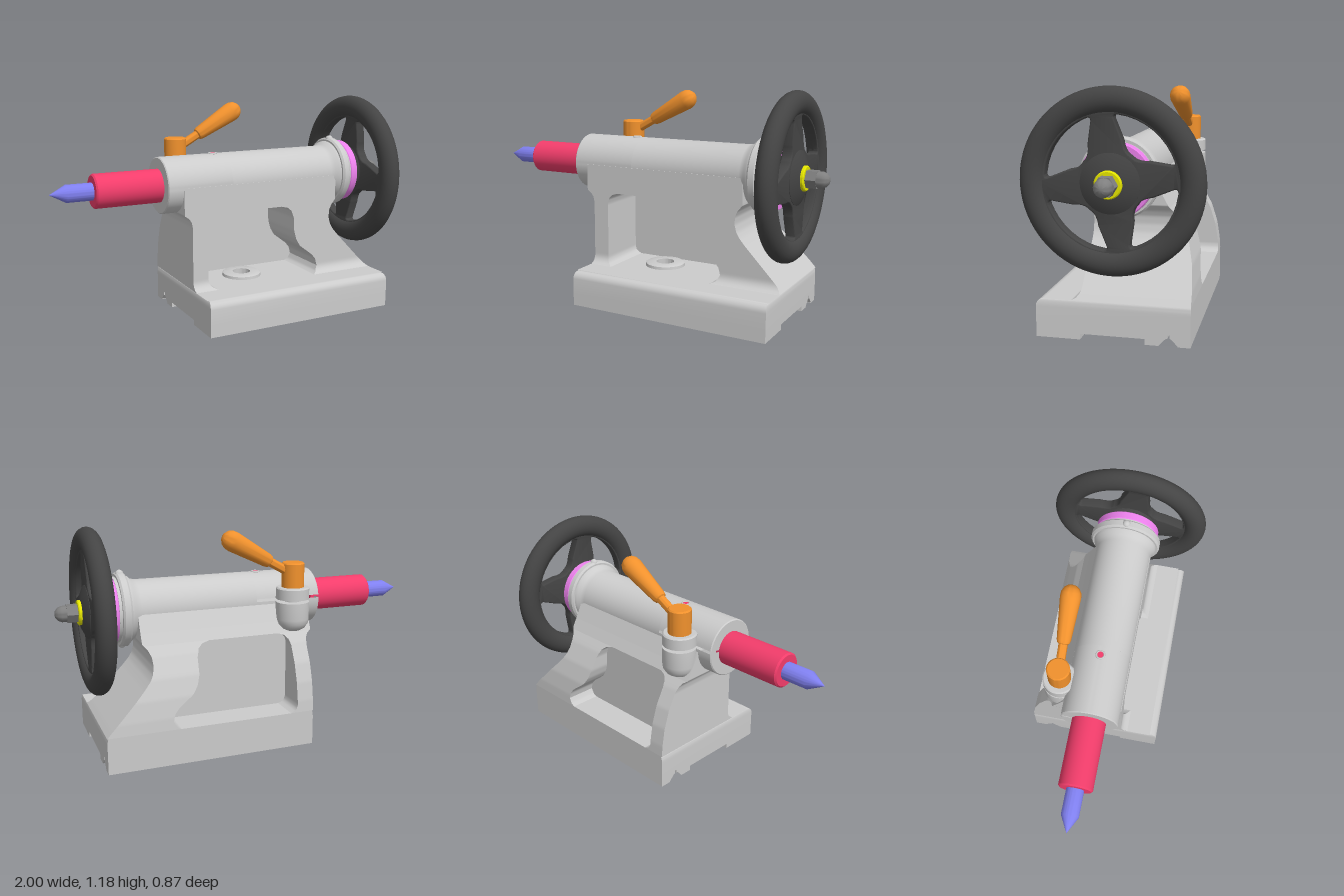
import * as THREE from 'three';
import { toCreasedNormals } from 'three/addons/utils/BufferGeometryUtils.js';

const AXIS = 0.75; // height of the spindle axis
const mat = (color) => new THREE.MeshStandardMaterial({ color });
const GREY = mat(0xcccccc), DARK = mat(0x444444), ORANGE = mat(0xf0912d), RED = mat(0xf23d6b),
  BLUE = mat(0x8080f0), VIOLET = mat(0xee82ee), YELLOW = mat(0xe6e600), STEEL = mat(0x808080);
const GREY2 = mat(0xcccccc);
GREY2.side = THREE.DoubleSide;

// Linear lookup in a short table of [key, value] pairs
function lookup(table, k) {
  if (k <= table[0][0]) return table[0][1];
  for (let i = 1; i < table.length; i++) {
    const [k0, v0] = table[i - 1], [k1, v1] = table[i];
    if (k <= k1) return v0 + (v1 - v0) * (k - k0) / (k1 - k0);
  }
  return table[table.length - 1][1];
}

// Stack of rectangles [y, x0, x1, zBack, zFront] joined into a solid
function stack(rows, capped = true) {
  const pos = [], idx = [];
  for (const [y, x0, x1, zb, zf] of rows) pos.push(x0, y, zf, x1, y, zf, x1, y, zb, x0, y, zb);
  for (let i = 0; i < rows.length - 1; i++) {
    for (let j = 0; j < 4; j++) {
      const a = i * 4 + j, b = i * 4 + (j + 1) % 4;
      idx.push(a, b, b + 4, a, b + 4, a + 4);
    }
  }
  if (capped) {
    const t = (rows.length - 1) * 4;
    idx.push(t, t + 1, t + 2, t, t + 2, t + 3, 0, 2, 1, 0, 3, 2);
  }
  const g = new THREE.BufferGeometry();
  g.setAttribute('position', new THREE.Float32BufferAttribute(pos, 3));
  g.setIndex(idx);
  return toCreasedNormals(g, 0.6);
}

// Lathe about a vertical axis, profile as [height, radius]
function lathe(profile, segments = 48, start = 0, length = Math.PI * 2) {
  const pts = profile.map(([h, r]) => new THREE.Vector2(r, h));
  return toCreasedNormals(new THREE.LatheGeometry(pts, segments, start, length), 0.6);
}
// The same about the spindle axis, profile as [x, radius]
const latheX = (...args) => lathe(...args).rotateZ(-Math.PI / 2).translate(0, AXIS, 0);

// Extrude a side shape (u = -z, v = y) along x
function extrudeX(shape, x0, x1, bevel = 0) {
  return new THREE.ExtrudeGeometry(shape, {
    depth: x1 - x0 - 2 * bevel, bevelEnabled: bevel > 0, bevelSize: bevel, bevelThickness: bevel,
    bevelSegments: 3, curveSegments: 24,
  }).rotateY(Math.PI / 2).translate(x0 + bevel, 0, 0);
}
const polygon = (pts) => new THREE.Shape(pts.map(([x, y]) => new THREE.Vector2(x, y)));

export function createModel() {
  const model = new THREE.Group();
  const add = (name, geo, material = GREY, parent = model) => {
    const m = new THREE.Mesh(geo, material);
    m.name = name;
    parent.add(m);
    return m;
  };
  const box = (name, x0, x1, y0, y1, z0, z1) => add(name,
    new THREE.BoxGeometry(x1 - x0, y1 - y0, z1 - z0).translate((x0 + x1) / 2, (y0 + y1) / 2, (z0 + z1) / 2));

  // Base plate with a rounded top edge and a bolt hole
  const rows = [[0.06, -0.29, 0.83, -0.37, 0.37]];
  for (let i = 0; i <= 6; i++) {
    const a = i / 6 * Math.PI / 2, c = 1 - Math.cos(a);
    rows.push([0.15 + 0.04 * Math.sin(a), -0.29 + 0.01 * c, 0.83 - 0.01 * c, -0.37, 0.37 - 0.04 * c]);
  }
  add('basePlate', stack(rows, false));
  const holedCap = (front) => {
    const s = polygon([[-0.29, -front], [0.83, -front], [0.83, 0.37], [-0.29, 0.37]]);
    s.holes.push(new THREE.Path().absarc(0.08, 0, 0.05, 0, Math.PI * 2, true));
    return new THREE.ShapeGeometry(s, 24);
  };
  add('basePlateTop', holedCap(0.33).rotateX(-Math.PI / 2).translate(0, 0.19, 0));
  add('basePlateUnderside', holedCap(0.37).rotateX(-Math.PI / 2).translate(0, 0.06, 0), GREY2);
  add('boltBoss', lathe([[0.06, 0.05], [0.19, 0.05], [0.21, 0.05], [0.21, 0.1], [0.205, 0.108], [0.19, 0.11]])
    .translate(0.08, 0, 0), GREY2);

  // Underside: rails, grooved way and slotted end blocks around a recess
  box('frontRail', -0.29, 0.83, 0, 0.06, 0.29, 0.37);
  const way = polygon([[0.155, 0], [0.22, 0], [0.255, 0.037], [0.262, 0.037], [0.262, 0.055], [0.272, 0.055],
    [0.272, 0.037], [0.279, 0.037], [0.31, 0.004], [0.31, 0], [0.37, 0], [0.37, 0.06], [0.155, 0.06]]);
  add('groovedWay', extrudeX(way, -0.29, 0.83));
  for (const [x0, x1] of [[-0.29, -0.17], [0.71, 0.83]]) {
    box('endBlock', x0, x1, 0, 0.06, 0.155, 0.29);
    box('slotRoof', x0, x1, 0.028, 0.06, -0.155, 0.155);
  }

  // Upright casting: two walls around a pocket, a solid top and a thin web
  const back = [[0.19, -0.37], [0.25, -0.366], [0.35, -0.35], [0.45, -0.318], [0.55, -0.265], [0.6, -0.228],
    [0.66, -0.195], [0.75, -0.15]];
  const front = [[0.19, 0.195], [0.2, 0.175], [0.215, 0.161], [0.235, 0.155]];
  const outerLeft = [[0.19, -0.29], [0.54, -0.29], [0.57, -0.297], [0.59, -0.312], [0.605, -0.335]];
  const innerLeft = [[0.19, -0.16], [0.2, -0.182], [0.21, -0.193], [0.23, -0.2], [0.54, -0.2], [0.57, -0.192],
    [0.59, -0.172], [0.6, -0.14]];
  const innerRight = [[0.19, 0.45], [0.2, 0.472], [0.23, 0.49], [0.27, 0.48], [0.3, 0.455], [0.33, 0.415],
    [0.36, 0.375], [0.4, 0.35], [0.45, 0.335], [0.53, 0.33], [0.57, 0.315], [0.59, 0.29], [0.6, 0.25]];
  const outerRight = [[0.19, 0.83], [0.22, 0.803], [0.3, 0.725], [0.4, 0.628], [0.44, 0.593], [0.47, 0.575],
    [0.51, 0.565], [0.55, 0.567], [0.58, 0.58], [0.61, 0.605]];
  const wall = (name, y0, y1, left, right) => {
    const list = [];
    for (let i = 0; i <= 40; i++) {
      const y = y0 + (y1 - y0) * i / 40;
      list.push([y, lookup(left, y), lookup(right, y), lookup(back, y), lookup(front, y)]);
    }
    add(name, stack(list));
  };
  wall('uprightWall', 0.19, 0.6, outerLeft, innerLeft);
  wall('uprightWall', 0.19, 0.6, innerRight, outerRight);
  wall('uprightTop', 0.6, 0.75, outerLeft, outerRight);
  box('uprightWeb', -0.24, 0.52, 0.18, 0.62, -0.2, -0.14);

  // Barrel: the nose is split by a clamping slit
  add('barrelNose', latheX([[-0.42, 0.088], [-0.42, 0.147], [-0.415, 0.152], [-0.05, 0.152]], 64,
    Math.PI + 0.18, Math.PI * 2 - 0.1), GREY2);
  add('barrel', latheX([[-0.05, 0], [-0.05, 0.152], [0.58, 0.152], [0.605, 0.158], [0.62, 0.172], [0.635, 0.176],
    [0.635, 0.186], [0.645, 0.195], [0.675, 0.195], [0.685, 0.186], [0.685, 0.172], [0.7, 0.172], [0.7, 0]], 64));
  add('oilerRing', new THREE.TorusGeometry(0.021, 0.005, 8, 24).rotateX(Math.PI / 2).translate(-0.1, 0.902, 0));
  add('oilerPlug', new THREE.CylinderGeometry(0.018, 0.018, 0.02, 20).translate(-0.1, 0.893, 0), RED);
  for (const s of [1, -1]) {
    add('collarScrew', new THREE.SphereGeometry(0.022, 16, 12).translate(0.66, AXIS + s * 0.187, 0));
  }

  // Clamp boss in two halves, with the locking lever
  const clamp = new THREE.Group();
  clamp.name = 'clamp';
  clamp.position.set(-0.24, 0, -0.19);
  model.add(clamp);
  add('clampLower', lathe([[0.6, 0], [0.605, 0.045], [0.62, 0.07], [0.645, 0.086], [0.67, 0.09], [0.762, 0.09],
    [0.762, 0]]), GREY, clamp);
  add('clampUpper', lathe([[0.778, 0], [0.778, 0.09], [0.835, 0.09], [0.842, 0.083], [0.842, 0]]), GREY, clamp);
  add('clampBolt', new THREE.CylinderGeometry(0.04, 0.04, 0.1, 24).translate(0, 0.77, 0), GREY, clamp);
  add('leverPost', lathe([[0.83, 0], [0.83, 0.061], [0.968, 0.061], [0.975, 0.054], [0.975, 0]]), ORANGE, clamp);
  const lever = add('lever', lathe([[0, 0], [0, 0.024], [0.13, 0.024], [0.135, 0.032], [0.15, 0.037], [0.37, 0.054],
    [0.395, 0.051], [0.415, 0.04], [0.429, 0.022], [0.433, 0]], 32), ORANGE, clamp);
  lever.position.set(0.02, 0.92, 0);
  lever.rotation.z = -1.06;

  // Quill and centre
  add('quill', latheX([[-0.78, 0], [-0.78, 0.082], [-0.772, 0.09], [-0.4, 0.09], [-0.4, 0]]), RED);
  add('center', latheX([[-1, 0], [-0.915, 0.046], [-0.77, 0.046], [-0.77, 0]]), BLUE);

  // Graduated dial
  add('dial', latheX([[0.7, 0], [0.7, 0.17], [0.705, 0.175], [0.74, 0.175], [0.745, 0.17], [0.745, 0]], 64), VIOLET);

  // Handwheel: oval rim, four-spoke disc with rounded windows, hub
  const rim = [];
  for (let i = 0; i <= 24; i++) {
    const a = Math.PI - i / 24 * Math.PI * 2;
    rim.push([0.812 + 0.053 * Math.cos(a), 0.373 + 0.062 * Math.sin(a)]);
  }
  add('wheelRim', latheX(rim, 80), DARK);
  const disc = new THREE.Shape().absarc(0, 0, 0.34, 0, Math.PI * 2, false);
  const polar = (r, deg) => new THREE.Vector2(r * Math.cos(deg * Math.PI / 180), r * Math.sin(deg * Math.PI / 180));
  for (let k = 0; k < 4; k++) {
    const w = new THREE.Path(), o = 7 + 90 * k;
    const corner = (rc, ac, r, a) => {
      const c = polar(rc, o + ac), e = polar(r, o + a);
      w.quadraticCurveTo(c.x, c.y, e.x, e.y);
    };
    const first = polar(0.318, o + 14);
    w.moveTo(first.x, first.y);
    for (let a = 20; a <= 76; a += 8) {
      const p = polar(0.318, o + a);
      w.lineTo(p.x, p.y);
    }
    corner(0.318, 82, 0.29, 80.5);
    const inner = polar(0.2, o + 68);
    w.lineTo(inner.x, inner.y);
    corner(0.15, 60, 0.152, 45);
    corner(0.15, 30, 0.2, 22);
    const outer = polar(0.29, o + 9.5);
    w.lineTo(outer.x, outer.y);
    corner(0.318, 8, 0.318, 14);
    disc.holes.push(w);
  }
  add('wheelSpokes', toCreasedNormals(extrudeX(disc, 0.785, 0.84, 0.006), 0.6).translate(0, AXIS, 0), DARK);
  add('wheelHub', latheX([[0.745, 0], [0.745, 0.1], [0.785, 0.14], [0.842, 0.14], [0.868, 0.085], [0.868, 0]]), DARK);

  // Yellow washer, hex nut and domed stud end
  add('washer', latheX([[0.86, 0.04], [0.86, 0.065], [0.88, 0.065], [0.885, 0.06], [0.885, 0]]), YELLOW);
  const nut = new THREE.CylinderGeometry(0.05, 0.05, 0.055, 6).rotateZ(Math.PI / 2).translate(0.9125, AXIS, 0);
  add('hexNut', toCreasedNormals(nut, 0.4), STEEL);
  add('studEnd', latheX([[0.93, 0], [0.93, 0.042], [0.965, 0.042], [0.983, 0.034], [0.996, 0.018], [1, 0]], 32), STEEL);

  return model;
}
